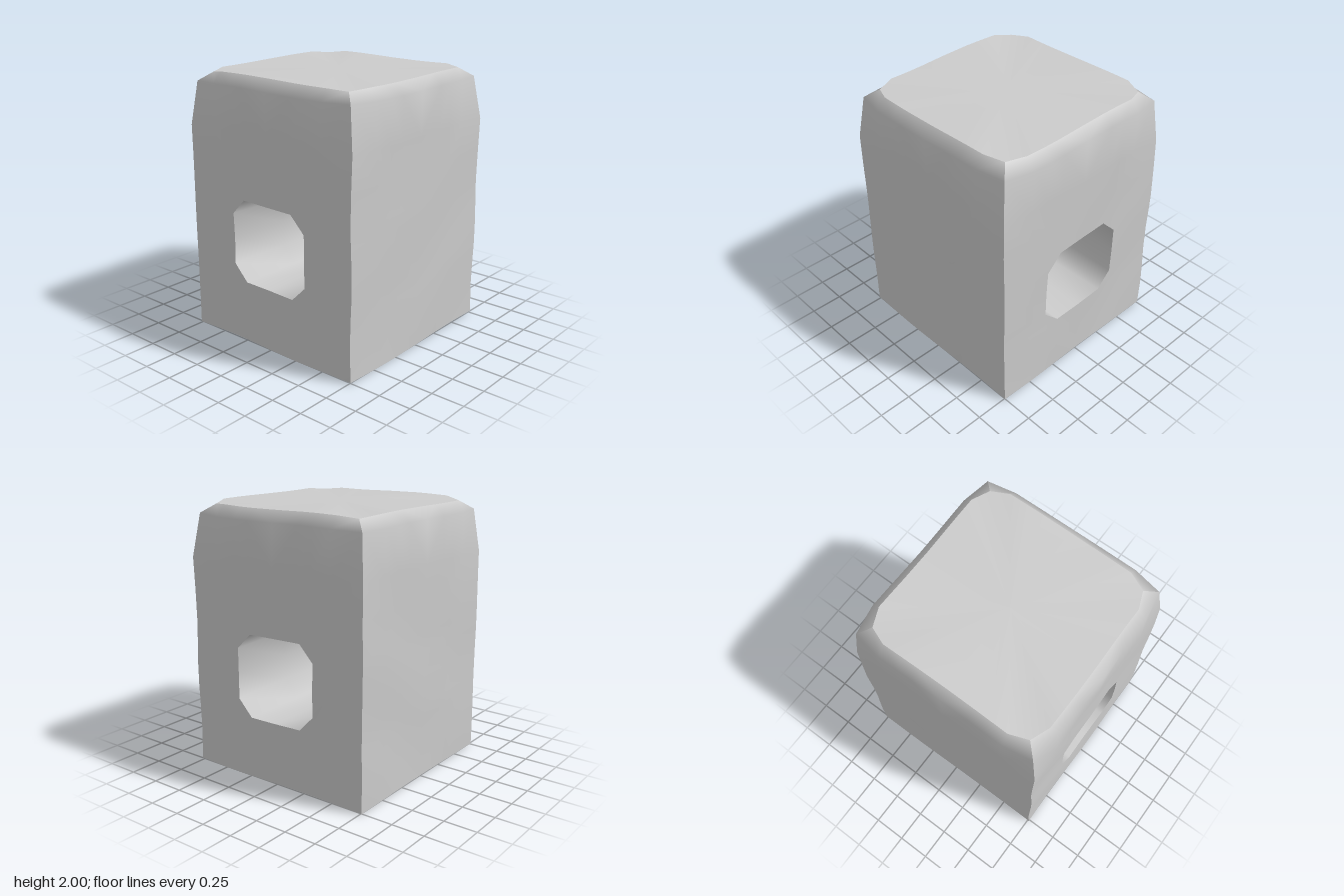
import * as THREE from 'three';

const HALF = 0.76;
// Columns across a wall and rows up it; the inner ones line up with the hole corners
const COLS = [-HALF, -0.5, -0.345, -0.225, 0, 0.225, 0.345, 0.5, HALF];
const ROWS = [0.012, 0.25, 0.48, 0.6, 0.8, 0.99, 1.11, 1.35, 1.6, 1.92, 2];
const HOLE = { c0: 2, c1: 5, r0: 2, r1: 5 }; // range of cells cut away

// Gentle unevenness, a function of position so that neighbouring parts still meet
function uneven([x, y, z]) {
  return [
    x + 0.004 * Math.sin(7 * y + 4 * z),
    y + 0.006 * Math.sin(5 * x + 4 * z) - 0.006,
    z + 0.004 * Math.sin(6 * x + 7 * y + 1),
  ];
}

function turn([x, y, z], a) {
  const c = Math.round(Math.cos(a)), s = Math.round(Math.sin(a));
  return [x * c + z * s, y, z * c - x * s];
}

// Point of the front wall: upright in the middle, rounding over at the top,
// with the corner columns drawn further inwards
function wallPoint(col, row) {
  const corner = col === 0 || col === COLS.length - 1;
  const side = Math.sign(COLS[col]);
  const top = ROWS.length - 1;
  if (row === top) return corner ? [side * 0.635, 1.985, 0.635] : [COLS[col], 2, 0.69];
  if (row === top - 1 && corner) return [side * 0.72, 1.92, 0.72];
  return [COLS[col], ROWS[row], HALF];
}

function build(name, points, index, material) {
  const geo = new THREE.BufferGeometry();
  geo.setAttribute('position', new THREE.Float32BufferAttribute(points.map(uneven).flat(), 3));
  geo.setIndex(index);
  geo.computeVertexNormals();
  const mesh = new THREE.Mesh(geo, material);
  mesh.name = name;
  return mesh;
}

// One wall, turned about the vertical axis, with an optional eight-sided opening
function makeWall(name, angle, open, material) {
  const n = COLS.length, points = [], index = [];
  for (let r = 0; r < ROWS.length; r++)
    for (let c = 0; c < n; c++) points.push(turn(wallPoint(c, r), angle));
  for (let r = 0; r < ROWS.length - 1; r++) {
    for (let c = 0; c < n - 1; c++) {
      const a = r * n + c, b = a + 1, d = a + n, e = d + 1;
      const inHole = open && c >= HOLE.c0 && c <= HOLE.c1 && r >= HOLE.r0 && r <= HOLE.r1;
      if (!inHole) {
        if (c < n / 2 - 1) index.push(a, b, d, b, e, d);
        else index.push(a, b, e, a, e, d);
        continue;
      }
      // Corner cells of the opening keep their outer half
      const left = c === HOLE.c0, right = c === HOLE.c1;
      const low = r === HOLE.r0, high = r === HOLE.r1;
      if (left && low) index.push(a, b, d);
      if (right && low) index.push(a, b, e);
      if (left && high) index.push(a, e, d);
      if (right && high) index.push(b, e, d);
    }
  }
  return build(name, points, index, material);
}

// Top or bottom face: a fan over the rim of the four walls
function makeCap(name, row, material) {
  const points = [], index = [];
  for (let k = 0; k < 4; k++)
    for (let c = 0; c < COLS.length - 1; c++) points.push(turn(wallPoint(c, row), (k * Math.PI) / 2));
  const n = points.length;
  points.push([0, row ? 2 : 0.006, 0]);
  for (let i = 0; i < n; i++) {
    const j = (i + 1) % n;
    if (row) index.push(n, i, j);
    else index.push(n, j, i);
  }
  return build(name, points, index, material);
}

// Lining of the opening from front to back, facing inwards
function makeTunnel(material) {
  const loop = [
    [-0.225, 0.48], [0, 0.48], [0.225, 0.48], [0.345, 0.6], [0.345, 0.8], [0.345, 0.99],
    [0.225, 1.11], [0, 1.11], [-0.225, 1.11], [-0.345, 0.99], [-0.345, 0.8], [-0.345, 0.6],
  ];
  const depths = [-HALF, -0.25, 0.25, HALF];
  const n = loop.length, points = [], index = [];
  for (const z of depths) for (const [x, y] of loop) points.push([x, y, z]);
  for (let s = 0; s < depths.length - 1; s++) {
    for (let i = 0; i < n; i++) {
      const a = s * n + i, b = s * n + ((i + 1) % n);
      index.push(a, a + n, b, b, a + n, b + n);
    }
  }
  return build('tunnel', points, index, material);
}

export function createModel() {
  const group = new THREE.Group();
  group.name = 'hollowBlock';
  const material = new THREE.MeshStandardMaterial({ color: 0xcccccc });
  ['frontWall', 'leftWall', 'backWall', 'rightWall'].forEach((name, k) =>
    group.add(makeWall(name, (k * Math.PI) / 2, k % 2 === 0, material)));
  group.add(makeCap('topFace', ROWS.length - 1, material));
  group.add(makeCap('bottomFace', 0, material));
  group.add(makeTunnel(material));
  return group;
}
